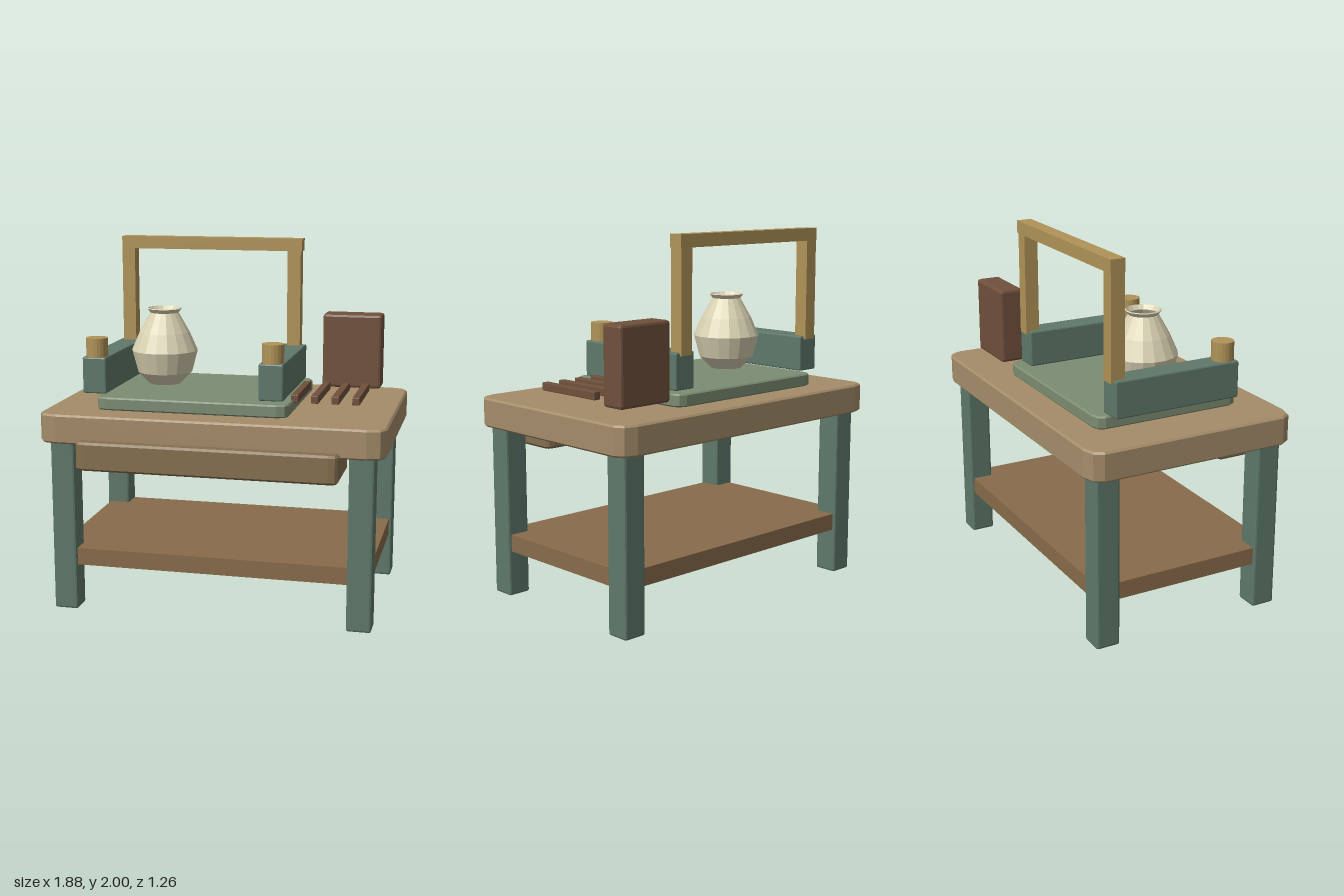
import * as THREE from 'three';
import { RoundedBoxGeometry } from 'three/addons/geometries/RoundedBoxGeometry.js';

const mat = (color, extra = {}) => new THREE.MeshStandardMaterial({ color, flatShading: true, ...extra });

export function createModel() {
  const group = new THREE.Group();
  const wood = mat(0xa48c69), drawerWood = mat(0x86704f), shelfWood = mat(0x886b4b);
  const green = mat(0x5f786a), trayGreen = mat(0x7c8c72);
  const gold = mat(0xb09358), red = mat(0x70503c);
  const ceramic = mat(0xd9d1b2, { side: THREE.DoubleSide });

  function add(name, geometry, material, x = 0, y = 0, z = 0) {
    const mesh = new THREE.Mesh(geometry, material);
    mesh.name = name;
    mesh.position.set(x, y, z);
    group.add(mesh);
    return mesh;
  }

  // Box given by its limits, with optional small softened edges
  function box(name, material, [x0, x1], [y0, y1], [z0, z1], bevel = 0) {
    const size = [x1 - x0, y1 - y0, z1 - z0];
    const geometry = bevel ? new RoundedBoxGeometry(...size, 1, bevel) : new THREE.BoxGeometry(...size);
    return add(name, geometry, material, (x0 + x1) / 2, (y0 + y1) / 2, (z0 + z1) / 2);
  }

  // Flat slab with corners cut in plan (rx by rz) and a thin bevel above and below
  function slab(name, material, [x0, x1], [y0, y1], [z0, z1], rx, rz, bevel) {
    const a = (x1 - x0) / 2, b = (z1 - z0) / 2, points = [];
    for (let corner = 0; corner < 4; corner++) {
      const sx = corner === 0 || corner === 3 ? 1 : -1, sz = corner < 2 ? 1 : -1;
      for (let i = 0; i <= 2; i++) {
        const t = (corner + i / 2) * Math.PI / 2;
        points.push(new THREE.Vector2(sx * (a - rx) + rx * Math.cos(t), sz * (b - rz) + rz * Math.sin(t)));
      }
    }
    const geometry = new THREE.ExtrudeGeometry(new THREE.Shape(points), {
      depth: y1 - y0 - 2 * bevel, bevelEnabled: true, bevelSegments: 1,
      bevelSize: bevel, bevelThickness: bevel, bevelOffset: -bevel,
    });
    geometry.rotateX(-Math.PI / 2);
    return add(name, geometry, material, (x0 + x1) / 2, y0 + bevel, (z0 + z1) / 2);
  }

  // Table
  slab('tableTop', wood, [-0.94, 0.94], [0.95, 1.11], [-0.63, 0.565], 0.1, 0.07, 0.01);
  slab('drawer', drawerWood, [-0.705, 0.705], [0.825, 0.98], [0.25, 0.63], 0.05, 0.025, 0.012);
  for (const x of [-0.815, 0.815])
    for (const z of [-0.51, 0.452])
      box('leg', green, [x - 0.067, x + 0.067], [0, 0.96], [z - 0.067, z + 0.067], 0.012);
  box('shelf', shelfWood, [-0.865, 0.865], [0.255, 0.35], [-0.56, 0.5]);

  // Work tray with a rail on each side
  slab('tray', trayGreen, [-0.665, 0.4], [1.11, 1.18], [-0.458, 0.39], 0.06, 0.05, 0.008);
  for (const x of [-0.688, 0.297]) {
    box('rail', green, [x - 0.067, x + 0.067], [1.188, 1.388], [-0.398, 0.328], 0.008);
    add('knob', new THREE.CylinderGeometry(0.06, 0.06, 0.105, 20), gold, x, 1.4375, 0.268);
    box('archPost', gold, [x - 0.038, x + 0.038], [1.37, 1.95], [-0.411, -0.333]);
  }
  box('archBeam', gold, [-0.726, 0.343], [1.93, 2], [-0.414, -0.331]);

  // Faceted open vase
  const profile = [[0.09, 1.197], [0.155, 1.265], [0.187, 1.387], [0.142, 1.49], [0.08, 1.6],
    [0.097, 1.622], [0.092, 1.626], [0.077, 1.604]];
  add('vase', new THREE.LatheGeometry(profile.map(([r, y]) => new THREE.Vector2(r, y)), 18),
    ceramic, -0.388, 0, -0.035);

  // Upright block and row of small bars
  box('block', red, [0.47, 0.807], [1.153, 1.577], [-0.47, -0.332], 0.015);
  for (let i = 0; i < 4; i++) {
    const x = 0.406 + i * 0.111;
    box('bar', red, [x - 0.02, x + 0.02], [1.164, 1.208], [-0.208, 0.22], 0.004);
  }
  return group;
}
